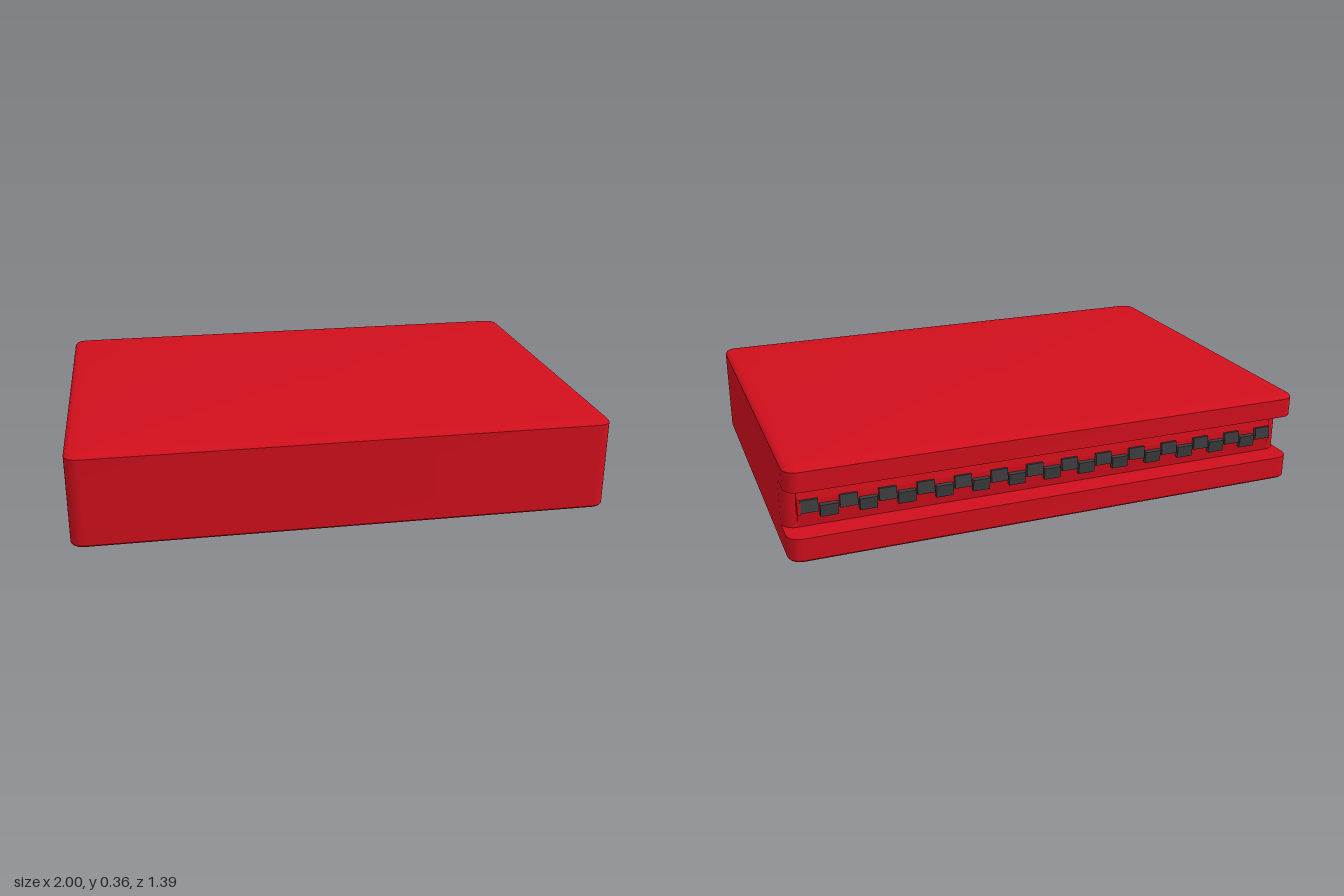
import * as THREE from 'three';
import { toCreasedNormals } from 'three/addons/utils/BufferGeometryUtils.js';

const RED = 0xd10f1c, DARK = 0x3c3c3e;
const material = (color) => new THREE.MeshStandardMaterial({ color });
const red = material(RED), dark = material(DARK);

const HALF_X = 1, HALF_Z = 0.695, RADIUS = 0.05, SLOT_Z = -0.603;
const SLOT_BOTTOM = 0.097, SLOT_TOP = 0.27, HEIGHT = 0.358;

// Rounded-rectangle outline, drawn in by inset, with its back side at backZ
function outline(y, inset, backZ) {
  const points = [], steps = 6;
  for (const [sx, sz, start] of [[1, 1, 0], [-1, 1, 1], [-1, -1, 2], [1, -1, 3]]) {
    const cx = sx * (HALF_X - RADIUS);
    const cz = sz > 0 ? HALF_Z - RADIUS : backZ + RADIUS;
    for (let i = 0; i <= steps; i++) {
      const a = (start + i / steps) * Math.PI / 2;
      const r = RADIUS - inset;
      points.push(new THREE.Vector3(cx + Math.cos(a) * r, y, cz + Math.sin(a) * r));
    }
  }
  return points;
}

// Skin stacked outlines from bottom to top and close both ends
function loft(rings) {
  const n = rings[0].length;
  const centre = (ring) => ring.map(() => new THREE.Vector3(0, ring[0].y, 0));
  const all = [centre(rings[0]), ...rings, centre(rings[rings.length - 1])];
  const pos = [];
  const triangle = (a, b, c) => {
    const area = b.clone().sub(a).cross(c.clone().sub(a)).length();
    if (area > 1e-9) for (const p of [a, b, c]) pos.push(p.x, p.y, p.z);
  };
  for (let k = 0; k < all.length - 1; k++) {
    for (let i = 0; i < n; i++) {
      const j = (i + 1) % n;
      triangle(all[k][i], all[k + 1][i], all[k][j]);
      triangle(all[k][j], all[k + 1][i], all[k + 1][j]);
    }
  }
  const geometry = new THREE.BufferGeometry();
  geometry.setAttribute('position', new THREE.Float32BufferAttribute(pos, 3));
  return toCreasedNormals(geometry, 0.6);
}

export function createModel() {
  const model = new THREE.Group();
  const add = (name, geometry, mat, x = 0, y = 0, z = 0) => {
    const mesh = new THREE.Mesh(geometry, mat);
    mesh.name = name;
    mesh.position.set(x, y, z);
    model.add(mesh);
    return mesh;
  };

  // Case with softened rims and a slot across the back
  const back = -HALF_Z;
  add('case', loft([
    outline(0, 0.045, back),
    outline(0.003, 0.02, back),
    outline(0.007, 0.006, back),
    outline(0.014, 0, back),
    outline(SLOT_BOTTOM, 0, back),
    outline(SLOT_BOTTOM, 0, SLOT_Z),
    outline(SLOT_TOP, 0, SLOT_Z),
    outline(SLOT_TOP, 0, back),
    outline(HEIGHT - 0.014, 0, back),
    outline(HEIGHT - 0.007, 0.006, back),
    outline(HEIGHT - 0.003, 0.02, back),
    outline(HEIGHT, 0.045, back),
  ]), red);

  // Zip tape, a shallow ridge inside the slot
  const profile = new THREE.Shape();
  profile.moveTo(0.59, SLOT_BOTTOM);
  profile.lineTo(0.603, SLOT_BOTTOM);
  profile.lineTo(0.614, 0.165);
  profile.lineTo(0.614, 0.2);
  profile.lineTo(0.603, SLOT_TOP);
  profile.lineTo(0.59, SLOT_TOP);
  const tape = new THREE.ExtrudeGeometry(profile, { depth: 1.9, bevelEnabled: false });
  tape.rotateY(Math.PI / 2);
  tape.translate(-0.95, 0, 0);
  add('zipTape', tape, red);

  // Teeth alternate between the upper and lower side
  const count = 27, pitch = 0.07;
  const toothShape = new THREE.BoxGeometry(0.064, 0.046, 0.02);
  for (let i = 0; i < count; i++) {
    const upper = i % 2 === 0;
    const x = (i - (count - 1) / 2) * pitch;
    const tooth = add('zipTooth', toothShape, dark, x, upper ? 0.181 : 0.158, -0.618);
    tooth.rotation.x = upper ? 0.12 : -0.12;
  }

  // Small stop at the left end of the zip
  add('zipStop', new THREE.BoxGeometry(0.012, 0.05, 0.022), red, 0.946, 0.178, -0.619);

  return model;
}
